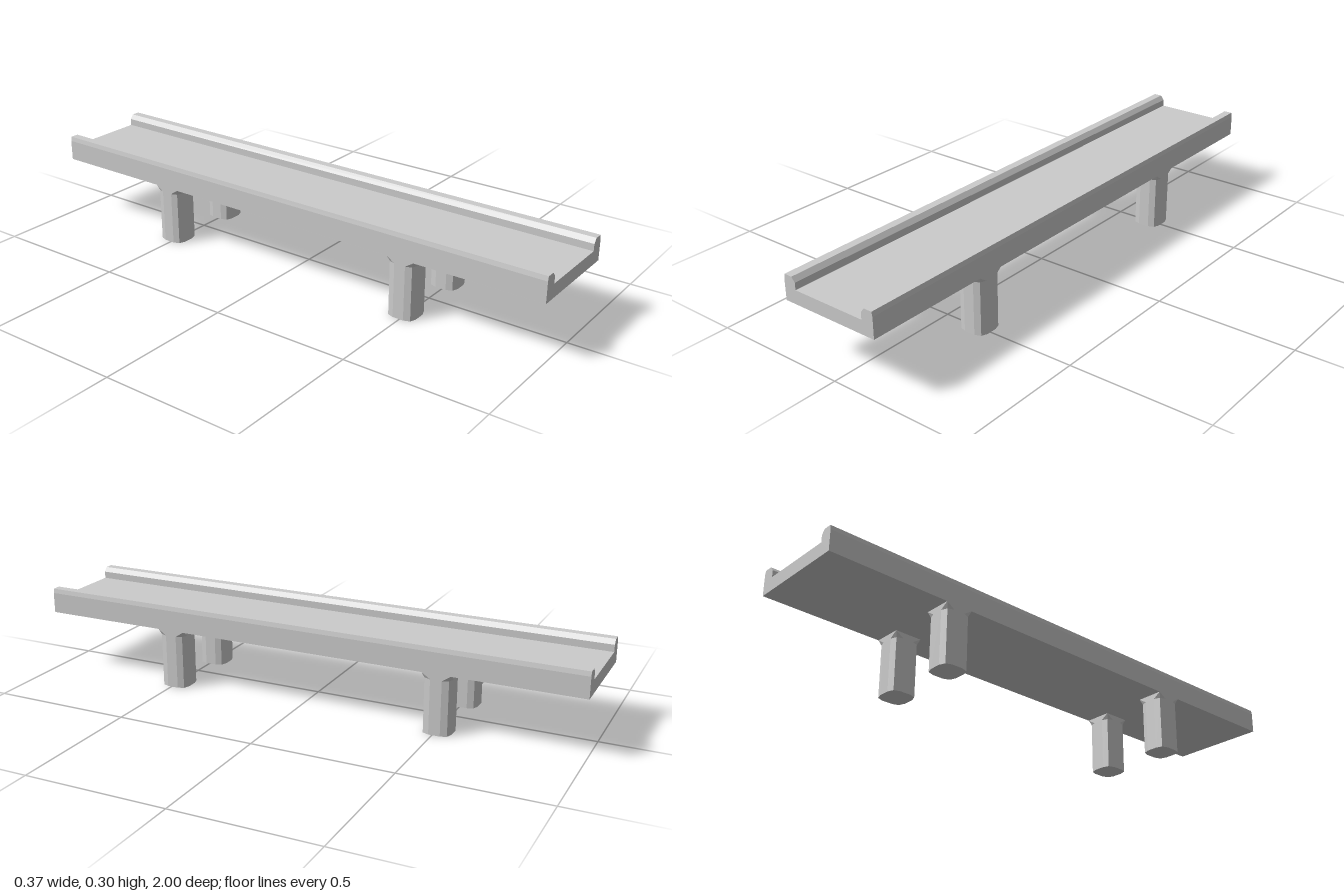
import * as THREE from 'three';

const material = new THREE.MeshStandardMaterial({ color: 0xcccccc, flatShading: true });

const HALF = 0.05; // half width of a pillar
const DECK_BOTTOM = 0.213;
const NECK = 0.193; // where the pillar starts to flare

// Deck: a channel section with bevelled kerbs, run along z
function createDeck() {
  const side = [[0.184, DECK_BOTTOM], [0.184, 0.287], [0.181, 0.303], [0.151, 0.303], [0.138, 0.287], [0.138, 0.262]];
  const mirrored = side.map(([x, y]) => [-x, y]).reverse();
  const shape = new THREE.Shape([...side, ...mirrored].map(([x, y]) => new THREE.Vector2(x, y)));
  const geometry = new THREE.ExtrudeGeometry(shape, { depth: 2, bevelEnabled: false });
  geometry.translate(0, 0, -1);
  const deck = new THREE.Mesh(geometry, material);
  deck.name = 'deck';
  return deck;
}

// Pillar: a softened square shaft flaring to a full square under the deck
function createPillarGeometry() {
  const corner = [[HALF, 0.02], [0.042, 0.042], [0.02, HALF]];
  const section = [];
  for (let q = 0; q < 4; q++) {
    for (const [a, b] of corner) {
      section.push([[a, b], [-b, a], [-a, -b], [b, -a]][q]);
    }
  }
  const square = section.map(([x, z]) => [Math.sign(x) * HALF, Math.sign(z) * HALF]);
  const ring = (points, y) => points.map(([x, z]) => new THREE.Vector3(x, y, z));
  const rings = [ring(section, 0), ring(section, NECK), ring(square, DECK_BOTTOM)];

  const vertices = [];
  const addTriangle = (a, b, c) => {
    if (a.equals(b) || b.equals(c) || c.equals(a)) return;
    for (const p of [a, b, c]) vertices.push(p.x, p.y, p.z);
  };
  const n = section.length;
  const foot = new THREE.Vector3();
  for (let i = 0; i < n; i++) {
    const j = (i + 1) % n;
    addTriangle(foot, rings[0][i], rings[0][j]);
    for (let r = 0; r < 2; r++) {
      addTriangle(rings[r][i], rings[r + 1][i], rings[r][j]);
      addTriangle(rings[r][j], rings[r + 1][i], rings[r + 1][j]);
    }
  }
  const geometry = new THREE.BufferGeometry();
  geometry.setAttribute('position', new THREE.Float32BufferAttribute(vertices, 3));
  geometry.computeVertexNormals();
  return geometry;
}

export function createModel() {
  const model = new THREE.Group();
  model.name = 'bridge';
  model.add(createDeck());

  // Two pairs of pillars, flush with the deck sides
  const pillarGeometry = createPillarGeometry();
  for (const [zName, z] of [['front', 0.494], ['back', -0.507]]) {
    for (const [xName, x] of [['Left', 0.134], ['Right', -0.134]]) {
      const pillar = new THREE.Mesh(pillarGeometry, material);
      pillar.name = `${zName}${xName}Pillar`;
      pillar.position.set(x, 0, z);
      model.add(pillar);
    }
  }
  return model;
}
